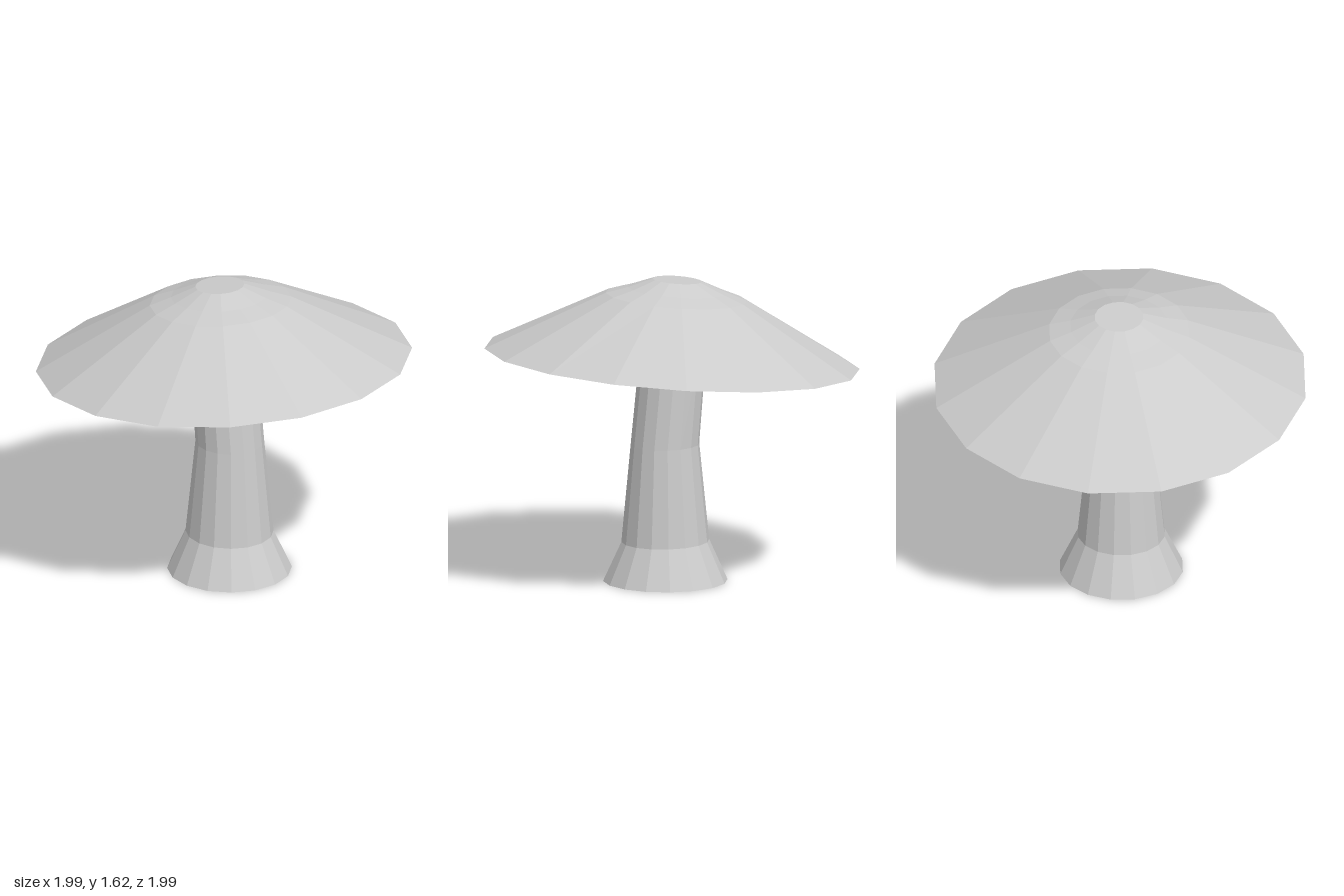
import * as THREE from 'three';

const SIDES = 16;
const material = new THREE.MeshStandardMaterial({ color: 0xcccccc, flatShading: true });

// Loft through rings given as [radius, centre x, centre y, slope along x]
function loft(name, rings) {
  const positions = [];
  const index = [];
  for (const [r, cx, cy, slope] of rings) {
    for (let j = 0; j < SIDES; j++) {
      const a = (j / SIDES) * Math.PI * 2;
      const dx = r * Math.cos(a);
      positions.push(cx + dx, cy + slope * dx, r * Math.sin(a));
    }
  }
  for (let i = 0; i < rings.length - 1; i++) {
    for (let j = 0; j < SIDES; j++) {
      const k = (j + 1) % SIDES;
      const a = i * SIDES + j, b = i * SIDES + k;
      const c = a + SIDES, d = b + SIDES;
      // A zero radius ring closes the end with a fan
      if (rings[i][0] > 0) index.push(a, c, b);
      if (rings[i + 1][0] > 0) index.push(b, c, d);
    }
  }
  const indexed = new THREE.BufferGeometry();
  indexed.setAttribute('position', new THREE.Float32BufferAttribute(positions, 3));
  indexed.setIndex(index);
  const geometry = indexed.toNonIndexed();
  geometry.computeVertexNormals();
  const mesh = new THREE.Mesh(geometry, material);
  mesh.name = name;
  return mesh;
}

export function createModel() {
  const group = new THREE.Group();
  group.name = 'mushroom';

  // Bent stem: flared foot, narrow middle, collar under the cap
  group.add(loft('stem', [
    [0, 0.04, 0, 0],
    [0.33, 0.04, 0, 0],
    [0.233, 0.04, 0.213, -0.02],
    [0.182, 0.042, 0.735, -0.02],
    [0.176, -0.002, 1.185, 0.06],
    [0.225, -0.02, 1.29, 0.075],
  ]));

  // Tilted cap: hollow underside, wide skirt, stepped crown with a flat top
  group.add(loft('cap', [
    [0.225, -0.02, 1.29, 0.075],
    [0.995, 0, 1.19, 0.077],
    [0.375, -0.025, 1.522, 0.078],
    [0.26, -0.03, 1.56, 0.078],
    [0.13, -0.03, 1.612, 0.08],
    [0, -0.03, 1.612, 0],
  ]));

  return group;
}
